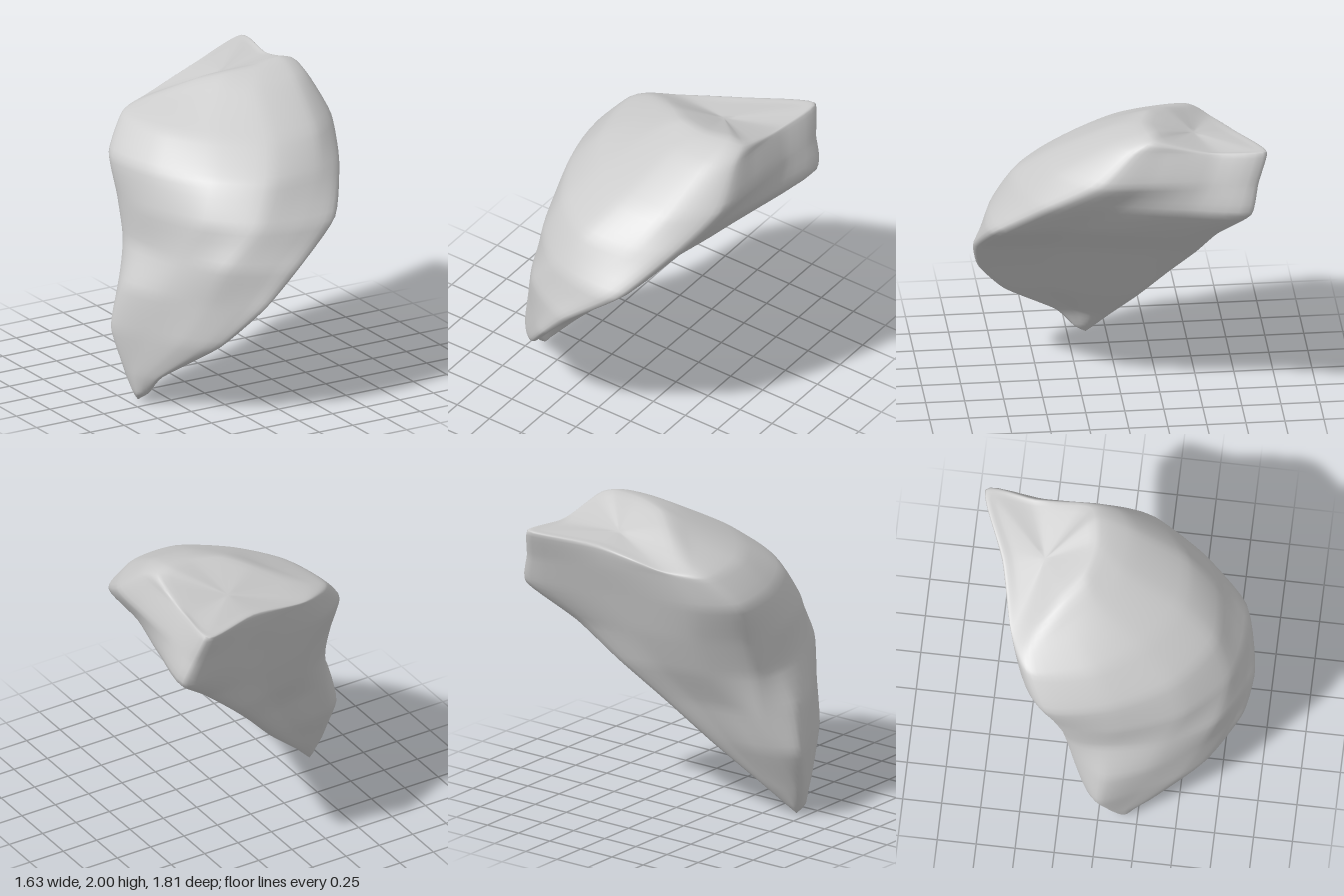
import * as THREE from 'three';
import { mergeVertices } from 'three/addons/utils/BufferGeometryUtils.js';

const V = (x, y, z) => new THREE.Vector3(x, y, z);

// Level cross-sections: height, then x,z pairs running
// back edge, front rim, three front points, two left points, two back points
const tip = [0.06, -0.62, 0.09, -0.63, 0.2, -0.66, 0.21, -0.69, 0.2, -0.71, 0.18, -0.715, 0.14, -0.7, 0.11, -0.68, 0.09, -0.65, 0.085];
const walls = [
  [0.2, -0.49, 0, -0.6, 0.32, -0.64, 0.33, -0.69, 0.26, -0.73, 0.18, -0.75, 0.1, -0.73, 0.05, -0.66, 0.02, -0.58, 0],
  [0.47, -0.21, -0.16, -0.38, 0.67, -0.47, 0.63, -0.58, 0.49, -0.69, 0.27, -0.8, 0.02, -0.7, -0.09, -0.55, -0.13, -0.38, -0.15],
  [0.75, 0.04, -0.33, -0.16, 0.86, -0.28, 0.8, -0.46, 0.62, -0.64, 0.33, -0.74, 0.04, -0.62, -0.17, -0.42, -0.23, -0.2, -0.28],
  [1.0, 0.28, -0.48, 0.07, 0.9, -0.12, 0.87, -0.37, 0.71, -0.54, 0.4, -0.615, 0.04, -0.59, -0.2, -0.34, -0.36, -0.03, -0.43],
  [1.25, 0.54, -0.59, 0.39, 0.8, 0.14, 0.85, -0.16, 0.77, -0.43, 0.51, -0.59, 0.1, -0.59, -0.27, -0.32, -0.46, 0.1, -0.54],
  [1.5, 0.8, -0.78, 0.6, 0.5, 0.36, 0.65, 0, 0.67, -0.32, 0.44, -0.53, 0.06, -0.6, -0.35, -0.35, -0.54, 0.2, -0.63],
  [1.7, 0.755, -0.83, 0.72, 0.2, 0.47, 0.43, 0.14, 0.44, -0.16, 0.23, -0.37, -0.07, -0.44, -0.46, -0.24, -0.6, 0.25, -0.7],
];

// Broken crest round the top, and the hollow inside it
const crest = [
  [0.71, 1.89, -0.89], [0.69, 1.88, -0.56], [0.69, 1.9, -0.26], [0.68, 1.91, -0.03], [0.53, 1.92, 0.08], [0.26, 1.91, 0.06],
  [0.03, 1.88, -0.08], [-0.13, 1.83, -0.26], [-0.3, 1.76, -0.49], [-0.16, 1.74, -0.62], [0.27, 1.84, -0.73],
];
const hollow = [
  [0.64, 1.89, -0.8], [0.64, 1.88, -0.56], [0.65, 1.95, -0.29], [0.63, 1.98, -0.2], [0.55, 2.0, -0.17], [0.38, 1.985, -0.15],
  [0.18, 1.96, -0.2], [0.03, 1.905, -0.32], [-0.13, 1.81, -0.47], [-0.02, 1.78, -0.57], [0.3, 1.85, -0.66],
];

// Turns a section into a ring, adding two points across the underside,
// full beside the back edge and dished towards the front rim
function wallRing([y, ...p]) {
  const pts = [];
  for (let i = 0; i < p.length; i += 2) pts.push(V(p[i], y, p[i + 1]));
  const push = y > 1.6 ? [0.012, 0.02] : y < 0.1 ? [0, 0] : [0.015, -0.02];
  const across = push.map((dx, k) => pts[0].clone().lerp(pts[1], (k + 1) / 3).add(V(dx, 0, 0)));
  pts.splice(1, 0, ...across);
  return pts;
}

const point = (x, y, z) => Array.from({ length: 11 }, () => V(x, y, z));

// Taut loft through the rings, along and across
function loft(rings, around, up) {
  const loops = rings.map((r) => {
    const curve = new THREE.CatmullRomCurve3(r, true, 'catmullrom', 0.38);
    return Array.from({ length: around }, (_, j) => curve.getPoint(j / around));
  });
  const rows = (rings.length - 1) * up;
  const position = [];
  const index = [];
  for (let j = 0; j < around; j++) {
    const column = new THREE.CatmullRomCurve3(loops.map((l) => l[j]), false, 'catmullrom', 0.3);
    for (let i = 0; i <= rows; i++) position.push(...column.getPoint(i / rows).toArray());
  }
  for (let j = 0; j < around; j++) {
    for (let i = 0; i < rows; i++) {
      const a = j * (rows + 1) + i;
      const b = ((j + 1) % around) * (rows + 1) + i;
      index.push(a, a + 1, b + 1, a, b + 1, b);
    }
  }
  const geometry = new THREE.BufferGeometry();
  geometry.setAttribute('position', new THREE.Float32BufferAttribute(position, 3));
  geometry.setIndex(index);
  const welded = mergeVertices(geometry, 1e-4);
  welded.computeVertexNormals();
  return welded;
}

export function createModel() {
  const group = new THREE.Group();
  group.name = 'rockFragment';
  const toVectors = (list) => list.map((p) => V(...p));
  const rings = [
    point(-0.675, 0, 0.13),
    wallRing(tip),
    ...walls.map(wallRing),
    toVectors(crest),
    toVectors(hollow),
    point(0.3, 1.86, -0.46),
  ];
  const stone = new THREE.Mesh(
    loft(rings, 66, 5),
    new THREE.MeshStandardMaterial({ color: 0xcccccc, side: THREE.DoubleSide }),
  );
  stone.name = 'stone';
  group.add(stone);
  return group;
}
